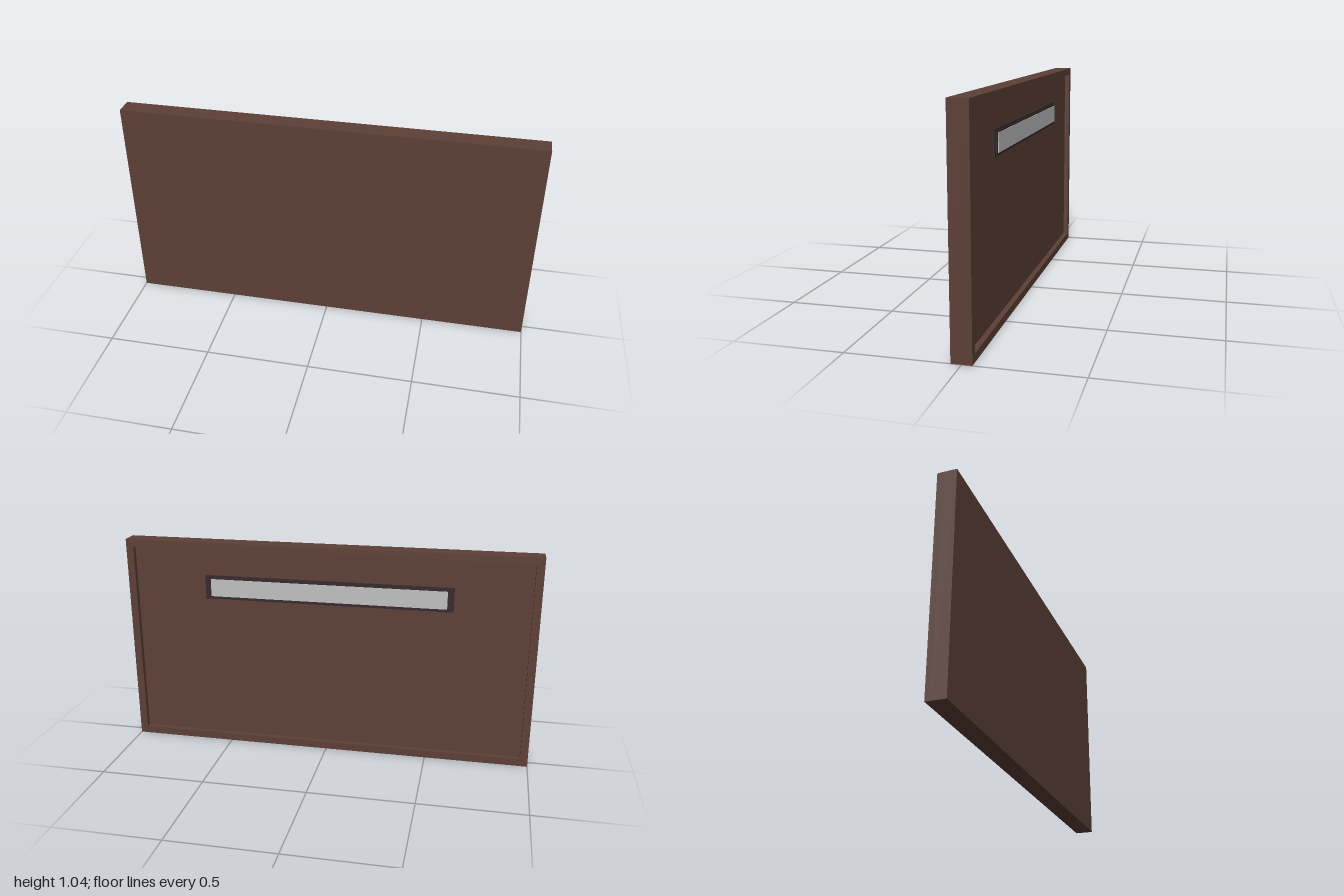
import * as THREE from 'three';

const W = 2, H = 1.04, BACK = -0.045, FRONT = 0.045;
const RIM = 0.037, FLOOR = -0.02; // rim width, z of the recessed back panel

const material = (name, hex) => {
  const m = new THREE.MeshStandardMaterial({ color: hex });
  m.name = name;
  return m;
};

// Box given by its centre height, size and z range
function slab(name, w, h, y, z0, z1, mat) {
  const mesh = new THREE.Mesh(new THREE.BoxGeometry(w, h, z1 - z0), mat);
  mesh.position.set(0, y, (z0 + z1) / 2);
  mesh.name = name;
  return mesh;
}

// Rectangular path centred on x = 0
function rect(path, w, h, y) {
  path.moveTo(-w / 2, y - h / 2);
  path.lineTo(w / 2, y - h / 2);
  path.lineTo(w / 2, y + h / 2);
  path.lineTo(-w / 2, y + h / 2);
  path.closePath();
  return path;
}

// Rectangular frame with an opening of even border width
function frame(name, w, h, y, border, z0, z1, mat) {
  const shape = rect(new THREE.Shape(), w, h, y);
  shape.holes.push(rect(new THREE.Path(), w - 2 * border, h - 2 * border, y));
  const geo = new THREE.ExtrudeGeometry(shape, { depth: z1 - z0, bevelEnabled: false });
  const mesh = new THREE.Mesh(geo, mat);
  mesh.position.z = z0;
  mesh.name = name;
  return mesh;
}

export function createModel() {
  const brown = material('brown', 0x5d4037);
  const dark = material('darkBrown', 0x35282a);
  const silver = material('silver', 0xc0c0c0);

  const group = new THREE.Group();
  group.name = 'panel';

  // Solid front panel and the rim standing behind it
  group.add(slab('frontPanel', W, H, H / 2, FLOOR, FRONT, brown));
  group.add(frame('backRim', W, H, H / 2, RIM, BACK, FLOOR, brown));

  // Stepped dark mount with a silver plate, set on the recessed back
  const plate = new THREE.Group();
  plate.name = 'backPlate';
  const y = 0.815;
  plate.add(slab('mountFlange', 1.21, 0.117, y, FLOOR - 0.009, FLOOR, dark));
  plate.add(slab('mountStep', 1.18, 0.1, y, FLOOR - 0.015, FLOOR - 0.009, dark));
  plate.add(slab('silverPlate', 1.15, 0.086, y, FLOOR - 0.018, FLOOR - 0.015, silver));
  group.add(plate);

  return group;
}
